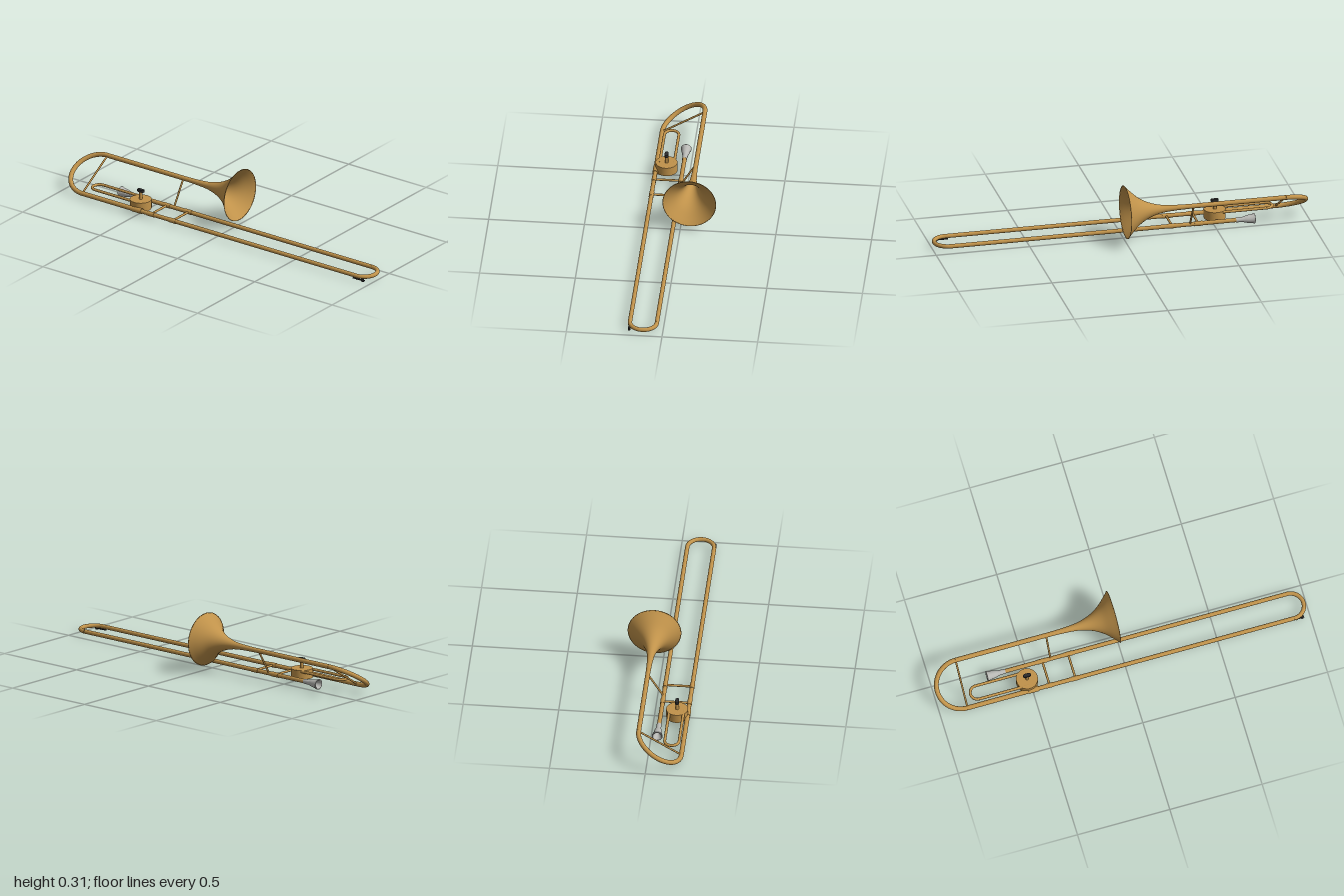
import * as THREE from 'three';

const V = (x, y, z) => new THREE.Vector3(x, y, z);
const brass = new THREE.MeshStandardMaterial({ color: 0xc0924a, side: THREE.DoubleSide });
const silver = new THREE.MeshStandardMaterial({ color: 0xb8b8b4, side: THREE.DoubleSide });
const black = new THREE.MeshStandardMaterial({ color: 0x2a2a2a });

// Main tube axes (all run along x)
const Y = 0.028, INNER = 0.035, OUTER = 0.175, BELL_Y = 0.165, BELL_Z = -0.048;

export function createModel() {
  const model = new THREE.Group();
  model.name = 'trombone';

  function add(name, geometry, material = brass) {
    const mesh = new THREE.Mesh(geometry, material);
    mesh.name = name;
    model.add(mesh);
    return mesh;
  }

  // Straight round bar between two points
  function rod(name, a, b, r, material = brass) {
    const mesh = add(name, new THREE.CylinderGeometry(r, r, a.distanceTo(b), 20), material);
    mesh.position.lerpVectors(a, b, 0.5);
    mesh.quaternion.setFromUnitVectors(V(0, 1, 0), b.clone().sub(a).normalize());
    return mesh;
  }

  // Half-circle bend from a to b, bulging along x by dir
  function bow(name, a, b, dir, r) {
    const mid = a.clone().lerp(b, 0.5);
    const arm = a.clone().sub(mid);
    const radius = arm.length();
    const points = [];
    for (let i = 0; i <= 32; i++) {
      const t = Math.PI * i / 32;
      points.push(mid.clone().addScaledVector(arm, Math.cos(t)).add(V(dir * radius * Math.sin(t), 0, 0)));
    }
    add(name, new THREE.TubeGeometry(new THREE.CatmullRomCurve3(points), 48, r, 16));
  }

  // Lathe turned so that its axis runs along x; profile is [x, radius]
  function latheX(name, profile, y, z, material) {
    const geometry = new THREE.LatheGeometry(profile.map(([x, r]) => new THREE.Vector2(r, x)), 48);
    const mesh = add(name, geometry, material);
    mesh.rotation.z = -Math.PI / 2;
    mesh.position.set(0, y, z);
  }

  // Bell flare, smoothed through a few profile points
  const flare = new THREE.SplineCurve([
    [-0.337, 0.0125], [-0.26, 0.015], [-0.19, 0.022], [-0.125, 0.041],
    [-0.07, 0.072], [-0.025, 0.113], [0, 0.139],
  ].map(([x, r]) => new THREE.Vector2(x, r))).getPoints(28).map(p => [p.x, p.y]);
  latheX('bell', flare, BELL_Y, BELL_Z, brass);
  const rim = add('bellRim', new THREE.TorusGeometry(0.139, 0.0015, 8, 48));
  rim.rotation.y = Math.PI / 2;
  rim.position.set(0, BELL_Y, BELL_Z);

  // Bell tube, rear tuning bow and lower neck
  rod('bellTube', V(-0.857, BELL_Y, BELL_Z), V(-0.335, BELL_Y, BELL_Z), 0.0125);
  bow('rearBow', V(-0.857, BELL_Y, BELL_Z), V(-0.857, Y, OUTER), -1, 0.0125);
  rod('neckTube', V(-0.857, Y, OUTER), V(-0.47, Y, OUTER), 0.0125);

  // Hand slide
  rod('innerSlideTube', V(-0.62, Y, INNER), V(0.915, Y, INNER), 0.0112);
  rod('outerSlideTube', V(-0.48, Y, OUTER), V(0.915, Y, OUTER), 0.0112);
  bow('slideBow', V(0.915, Y, INNER), V(0.915, Y, OUTER), 1, 0.0112);

  // Sleeves and braces across the slide
  for (const x of [-0.41, -0.27]) {
    rod('slideBrace', V(x, Y, INNER), V(x, Y, OUTER), 0.006);
    for (const z of [INNER, OUTER]) rod('sleeve', V(x - 0.022, Y, z), V(x + 0.022, Y, z), 0.0128);
  }
  rod('neckCollar', V(-0.525, Y, OUTER), V(-0.47, Y, OUTER), 0.0145);

  // Braces between bell and lower tubes
  rod('rearBrace', V(-0.855, BELL_Y, BELL_Z), V(-0.855, Y, OUTER), 0.005);
  rod('bellBrace', V(-0.365, BELL_Y, BELL_Z), V(-0.365, Y, INNER), 0.005);

  // Mouthpiece with hollow cup
  latheX('mouthpiece', [
    [-0.61, 0.0112], [-0.61, 0.0125], [-0.645, 0.0135], [-0.66, 0.018], [-0.675, 0.021],
    [-0.7, 0.024], [-0.704, 0.0275], [-0.709, 0.028], [-0.711, 0.025],
    [-0.708, 0.021], [-0.69, 0.016], [-0.675, 0.004], [-0.66, 0.003],
  ], Y, INNER, silver);

  // Rotary valve with stem and thumb key
  const vx = -0.517, vz = 0.12;
  rod('valveBody', V(vx, 0.018, vz), V(vx, 0.067, vz), 0.057).geometry =
    new THREE.CylinderGeometry(0.057, 0.057, 0.049, 48);
  rod('valveStem', V(vx, 0.067, vz), V(vx, 0.108, vz), 0.009);
  const keyShape = new THREE.Shape();
  keyShape.absarc(0.011, 0, 0.008, -Math.PI / 2, Math.PI / 2);
  keyShape.absarc(-0.011, 0, 0.008, Math.PI / 2, Math.PI * 1.5);
  const key = add('valveKey', new THREE.ExtrudeGeometry(keyShape, {
    depth: 0.011, bevelThickness: 0.002, bevelSize: 0.002, bevelSegments: 2, curveSegments: 8,
  }), black);
  key.rotation.x = -Math.PI / 2;
  key.position.set(vx, 0.109, vz);

  // Valve loop
  const loopY = 0.06, loopZ = [0.081, 0.156];
  for (const z of loopZ) rod('valveLoopTube', V(-0.785, loopY, z), V(vx, loopY, z), 0.0075);
  bow('valveLoopBow', V(-0.785, loopY, loopZ[0]), V(-0.785, loopY, loopZ[1]), -1, 0.0075);

  // Water key under the slide bow
  const lever = add('waterKey', new THREE.BoxGeometry(0.072, 0.005, 0.009), black);
  lever.position.set(0.932, 0.0125, OUTER);
  rod('waterKeyPad', V(0.958, 0.006, OUTER), V(0.958, 0.022, OUTER), 0.0075, black);
  rod('waterKeyPivot', V(0.925, 0.014, OUTER - 0.008), V(0.925, 0.014, OUTER + 0.008), 0.004, black);

  return model;
}
